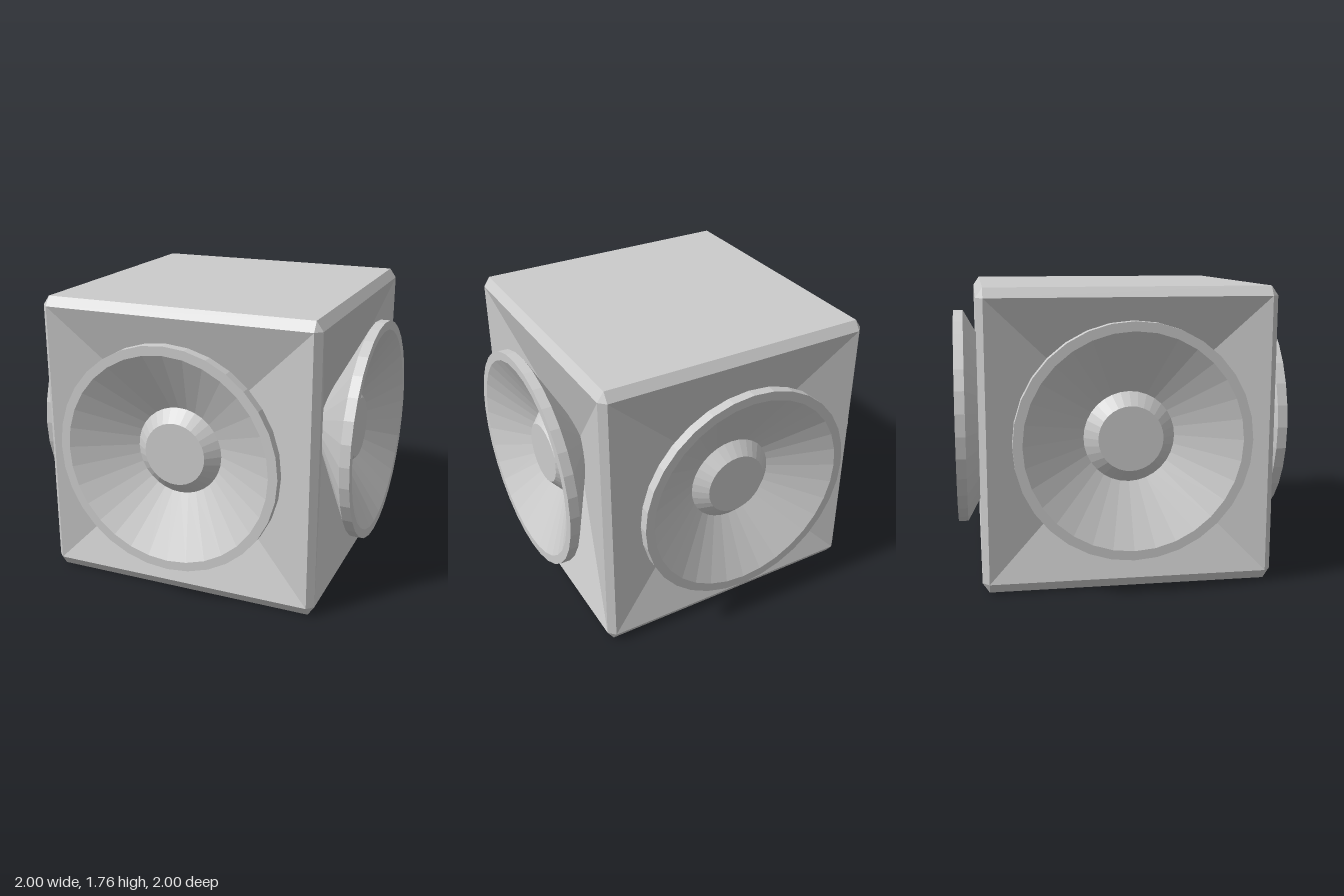
import * as THREE from 'three';

const material = new THREE.MeshStandardMaterial({ color: 0xcccccc, flatShading: true });

// One quarter of the chamfered cabinet, facing +z, with a face sunk to a shallow pyramid
function cabinetQuarter() {
  const a = 0.825, b = 0.865, y1 = 0.06, y2 = 1.708, y3 = 1.765;
  const bl = [-a, y1, b], br = [a, y1, b], tr = [a, y2, b], tl = [-a, y2, b];
  const apex = [0, 0.9, 0.635];
  const topL = [-a, y3, a], topR = [a, y3, a], botL = [-a, 0, a], botR = [a, 0, a];
  const sideLow = [b, y1, a], sideHigh = [b, y2, a];
  const faces = [
    [bl, br, apex], [br, tr, apex], [tr, tl, apex], [tl, bl, apex], // sunken face
    [tl, tr, topR, topL], [botL, botR, br, bl],                     // top and bottom chamfers
    [br, sideLow, sideHigh, tr],                                    // upright chamfer
    [tr, sideHigh, topR], [br, botR, sideLow],                      // corners
    [topL, topR, [0, y3, 0]], [botR, botL, [0, 0, 0]],              // quarter of the lid and base
  ];
  const points = [];
  for (const f of faces) {
    for (let i = 1; i < f.length - 1; i++) points.push(...f[0], ...f[i], ...f[i + 1]);
  }
  const geometry = new THREE.BufferGeometry();
  geometry.setAttribute('position', new THREE.Float32BufferAttribute(points, 3));
  geometry.computeVertexNormals();
  return geometry;
}

// Turned part whose axis points along +z; profile is [radius, distance] pairs
function turned(profile) {
  const points = profile.map(([r, d]) => new THREE.Vector2(r, d));
  return new THREE.LatheGeometry(points, 32).rotateX(Math.PI / 2);
}

function part(name, geometry, y = 0) {
  const mesh = new THREE.Mesh(geometry, material);
  mesh.name = name;
  mesh.position.y = y;
  return mesh;
}

export function createModel() {
  const model = new THREE.Group();
  model.name = 'fourSidedSpeaker';

  const quarter = cabinetQuarter();
  // Outer cone, rim and inner cone in one profile
  const horn = turned([[0.2, 0.67], [0.685, 0.94], [0.685, 1], [0.63, 1], [0.267, 0.8]]);
  const hub = turned([[0.267, 0.8], [0.19, 0.87], [0, 0.87]]);

  ['front', 'left', 'back', 'right'].forEach((name, i) => {
    const side = new THREE.Group();
    side.name = name + 'Side';
    side.rotation.y = i * Math.PI / 2;
    side.add(part('cabinet', quarter), part('horn', horn, 0.9), part('hub', hub, 0.9));
    model.add(side);
  });
  return model;
}
